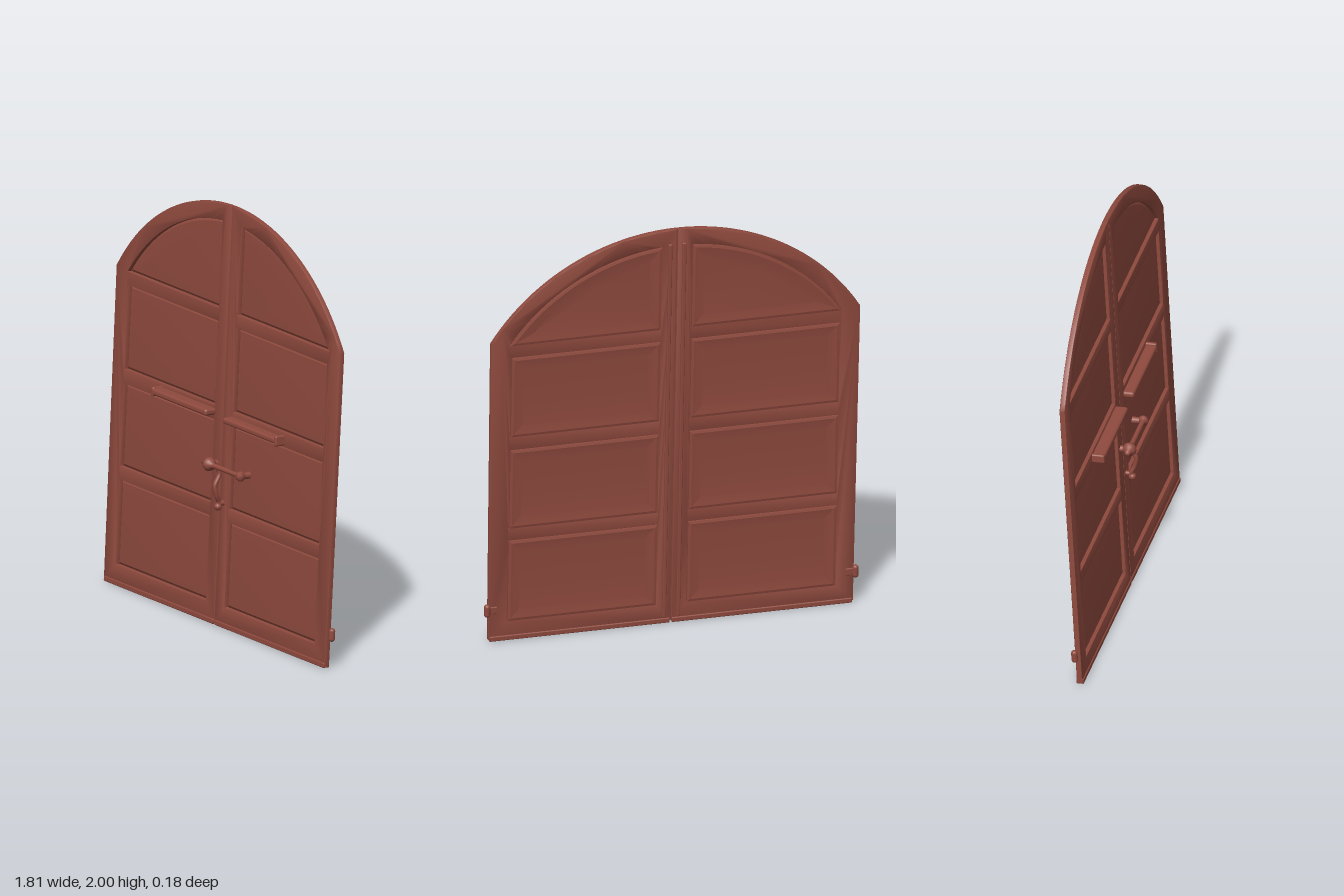
import * as THREE from 'three';
import { toCreasedNormals } from 'three/addons/utils/BufferGeometryUtils.js';
import { RoundedBoxGeometry } from 'three/addons/geometries/RoundedBoxGeometry.js';

const material = new THREE.MeshStandardMaterial({ color: 0x8f4a3e });
const ARCH_Y = 0.947; // centre height of the arch circles
const OUTER_R = 1.053;
const INNER_R = 0.972;

function add(parent, name, geometry, x = 0, y = 0, z = 0) {
  const mesh = new THREE.Mesh(geometry, material);
  mesh.name = name;
  mesh.position.set(x, y, z);
  parent.add(mesh);
  return mesh;
}

// Points on an arch circle from height y0 up to x0
function arc(x0, y0, r, n = 24) {
  const a0 = Math.asin((y0 - ARCH_Y) / r);
  const a1 = Math.acos(x0 / r);
  return Array.from({ length: n + 1 }, (_, k) => {
    const a = a0 + (a1 - a0) * k / n;
    return [r * Math.cos(a), ARCH_Y + r * Math.sin(a)];
  });
}

// Counter-clockwise panel outline on the +x leaf, shrunk by an inset
function outline(panel, inset) {
  const x0 = 0.075 + inset, y0 = panel.y0 + inset;
  if (panel.arched) return [[x0, y0], ...arc(x0, y0, INNER_R - inset)];
  const x1 = 0.79 - inset, y1 = panel.y1 - inset;
  return [[x0, y0], [x1, y0], [x1, y1], [x0, y1]];
}

function mirrored(points, side) {
  const p = points.map(([x, y]) => new THREE.Vector2(x * side, y));
  return side < 0 ? p.reverse() : p;
}

// Solid panel lofted through inset rings, capped by fans at both ends
function panelGeometry(panel, side) {
  const rings = [[0.012, -0.008], [0.012, 0], [0.055, 0.002], [0.055, -0.017], [0.012, -0.023], [0, -0.02]];
  const order = [2, 1, 0, 5, 4, 3].map(i => rings[i]);
  order[2] = [0, -0.008];
  const loops = order.map(([inset, z]) =>
    mirrored(outline(panel, inset), side).map(p => new THREE.Vector3(p.x, p.y, z)));
  const n = loops[0].length, pos = [];
  const tri = (...v) => v.forEach(p => pos.push(p.x, p.y, p.z));
  const centre = loop => loop.reduce((s, p) => s.add(p), new THREE.Vector3()).divideScalar(n);
  const front = centre(loops[0]), back = centre(loops.at(-1));
  for (let i = 0; i < n; i++) {
    const j = (i + 1) % n;
    tri(front, loops[0][i], loops[0][j]);
    tri(back, loops.at(-1)[j], loops.at(-1)[i]);
    for (let k = 0; k < loops.length - 1; k++) {
      const a = loops[k], b = loops[k + 1];
      tri(a[i], b[i], b[j]);
      tri(a[i], b[j], a[j]);
    }
  }
  const g = new THREE.BufferGeometry();
  g.setAttribute('position', new THREE.Float32BufferAttribute(pos, 3));
  g.computeVertexNormals();
  return toCreasedNormals(g, 0.15);
}

const PANELS = [
  { y0: 0.10, y1: 0.505 },
  { y0: 0.57, y1: 0.965 },
  { y0: 1.035, y1: 1.435 },
  { y0: 1.5, arched: true },
];

// One door leaf; side is +1 for the left leaf and -1 for the right
function createLeaf(side) {
  const leaf = new THREE.Group();
  leaf.name = side > 0 ? 'leftLeaf' : 'rightLeaf';
  const shape = new THREE.Shape(mirrored(
    [[0.002, 0.01], [0.88, 0.01], [0.89, 1.505], ...arc(0.002, 1.51, OUTER_R)], side));
  PANELS.forEach(p => shape.holes.push(new THREE.Path(mirrored(outline(p, 0), side).reverse())));
  const frame = new THREE.ExtrudeGeometry(shape, {
    depth: 0.018, bevelThickness: 0.004, bevelSize: 0.003, bevelOffset: -0.003, bevelSegments: 2,
  });
  add(leaf, 'frame', toCreasedNormals(frame, 0.6), 0, 0, -0.009);
  PANELS.forEach(p => add(leaf, p.arched ? 'archedPanel' : 'panel', panelGeometry(p, side)));

  // Bottom rail strip and the ridge beside the meeting edge at the back
  add(leaf, 'bottomStrip', new RoundedBoxGeometry(0.87, 0.025, 0.036, 2, 0.005), side * 0.44, 0.0135, 0);
  add(leaf, 'meetingRidge', new RoundedBoxGeometry(0.018, 1.9, 0.018, 2, 0.005), side * 0.034, 0.98, -0.014);

  // Hinge pin on the outer edge
  add(leaf, 'hinge', new THREE.CapsuleGeometry(0.015, 0.035, 6, 14), side * 0.888, 0.16, -0.014);
  add(leaf, 'hingeLeaf', new RoundedBoxGeometry(0.05, 0.035, 0.012, 2, 0.004), side * 0.865, 0.16, -0.014);
  return leaf;
}

// Horizontal turned rod with a flared end and a round knob
function createLatch() {
  const latch = new THREE.Group();
  latch.name = 'latch';
  const profile = [[0, 0], [0.012, 0.002], [0.014, 0.018], [0.027, 0.028], [0.034, 0.046], [0.027, 0.064],
    [0.015, 0.074], [0.012, 0.09], [0.011, 0.275], [0.022, 0.285], [0.024, 0.3], [0.018, 0.31], [0, 0.312]];
  const rod = add(latch, 'latchRod',
    new THREE.LatheGeometry(profile.map(p => new THREE.Vector2(...p)), 24), -0.082, 0.765, 0.055);
  rod.rotation.z = -Math.PI / 2;
  [-0.036, 0.21].forEach(x => {
    const post = add(latch, 'latchPost', new THREE.CylinderGeometry(0.013, 0.017, 0.05, 16), x, 0.765, 0.03);
    post.rotation.x = Math.PI / 2;
  });

  // Curved pull hanging below the rod
  const curve = new THREE.CatmullRomCurve3([[0.02, 0.765, 0.05], [0.025, 0.73, 0.04], [0.03, 0.68, 0.065],
    [0.032, 0.63, 0.055], [0.027, 0.595, 0.038], [0.03, 0.57, 0.045]].map(p => new THREE.Vector3(...p)));
  add(latch, 'pull', new THREE.TubeGeometry(curve, 32, 0.011, 10));
  add(latch, 'pullKnob', new THREE.SphereGeometry(0.018, 16, 12), 0.028, 0.575, 0.042);
  const foot = add(latch, 'pullFoot', new THREE.CylinderGeometry(0.01, 0.013, 0.04, 14), 0.028, 0.59, 0.024);
  foot.rotation.x = Math.PI / 2;
  return latch;
}

export function createModel() {
  const model = new THREE.Group();
  model.name = 'archedDoubleDoor';
  const door = new THREE.Group();
  door.name = 'door';
  door.add(createLeaf(1), createLeaf(-1), createLatch());

  // Narrow ledge-like bars on each leaf
  add(door, 'rightBar', new RoundedBoxGeometry(0.435, 0.032, 0.066, 3, 0.012), -0.28, 1.004, 0.038);
  add(door, 'rightBarEnd', new RoundedBoxGeometry(0.02, 0.044, 0.066, 3, 0.008), -0.49, 1.004, 0.038);
  add(door, 'leftBar', new RoundedBoxGeometry(0.42, 0.03, 0.058, 3, 0.012), 0.27, 0.998, 0.035);
  add(door, 'leftBarEnd', new RoundedBoxGeometry(0.02, 0.05, 0.058, 3, 0.008), 0.478, 0.998, 0.035);

  // The whole door leans back and is turned a touch
  door.rotation.set(-0.054, -0.018, 0);
  door.position.z = 0.035;
  model.add(door);
  return model;
}
